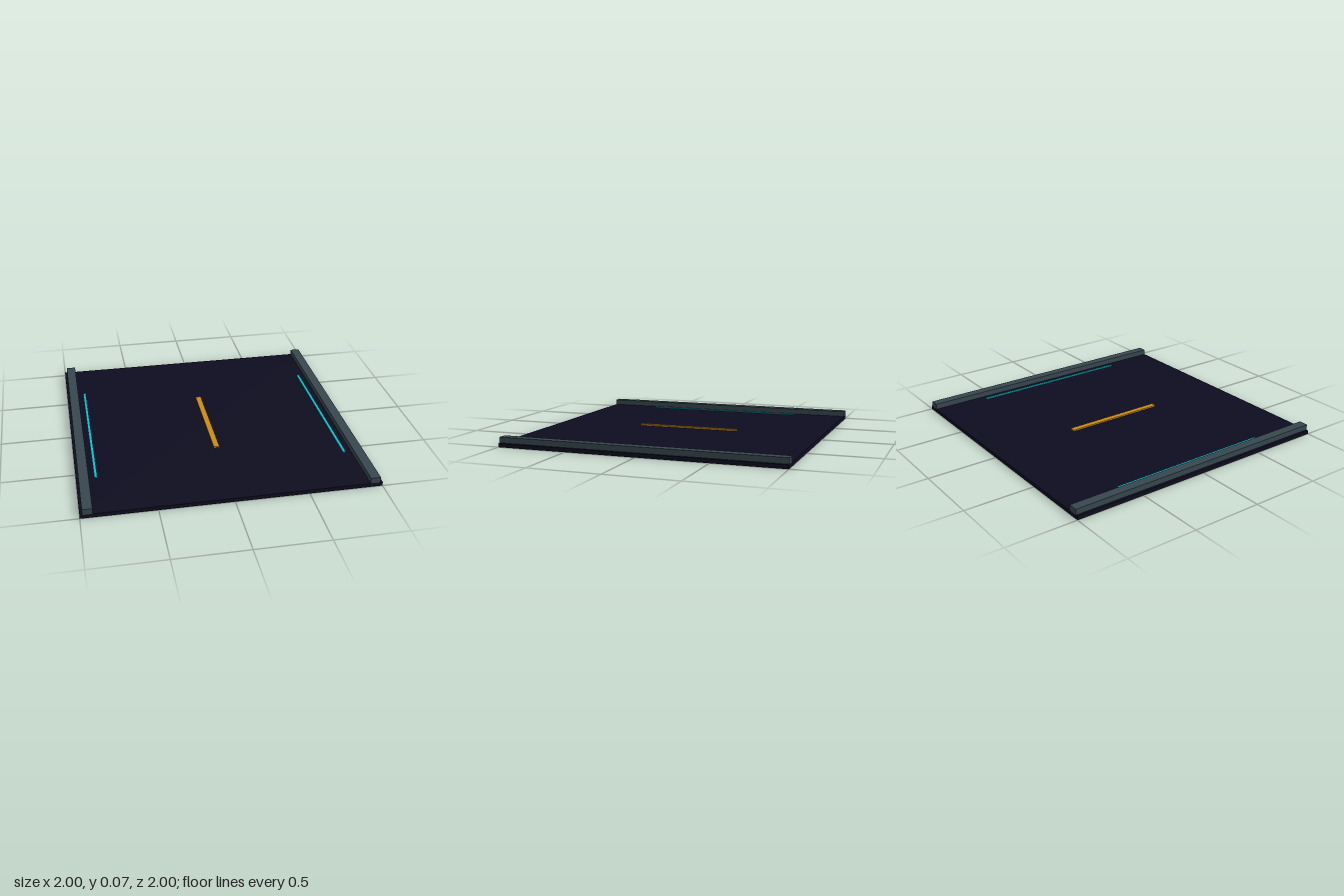
import * as THREE from 'three';

const material = (name, color) => {
  const m = new THREE.MeshStandardMaterial({ color });
  m.name = name;
  return m;
};

export function createModel() {
  const group = new THREE.Group();
  group.name = 'roadTile';
  const navy = material('dark navy', 0x0d0d20);
  const slate = material('slate grey', 0x37474f);
  const amber = material('amber', 0xcc8c12);
  const cyan = material('cyan', 0x0cc2cc);

  const slabTop = 0.027;
  // Box standing on the given height
  const addBox = (name, mat, w, h, d, x, base) => {
    const mesh = new THREE.Mesh(new THREE.BoxGeometry(w, h, d), mat);
    mesh.name = name;
    mesh.position.set(x, base + h / 2, 0);
    group.add(mesh);
  };

  // Road slab and raised centre marking
  addBox('roadSlab', navy, 2, slabTop, 2, 0, 0);
  addBox('centreMarking', amber, 0.04, 0.01, 0.746, 0, slabTop);

  // Kerbs and glowing edge strips on both sides
  for (const [side, s] of [['left', 1], ['right', -1]]) {
    addBox(side + 'Kerb', slate, 0.067, 0.04, 2, s * 0.95, slabTop);
    addBox(side + 'EdgeStrip', cyan, 0.02, 0.0065, 1.2, s * 0.867, slabTop);
  }
  return group;
}
